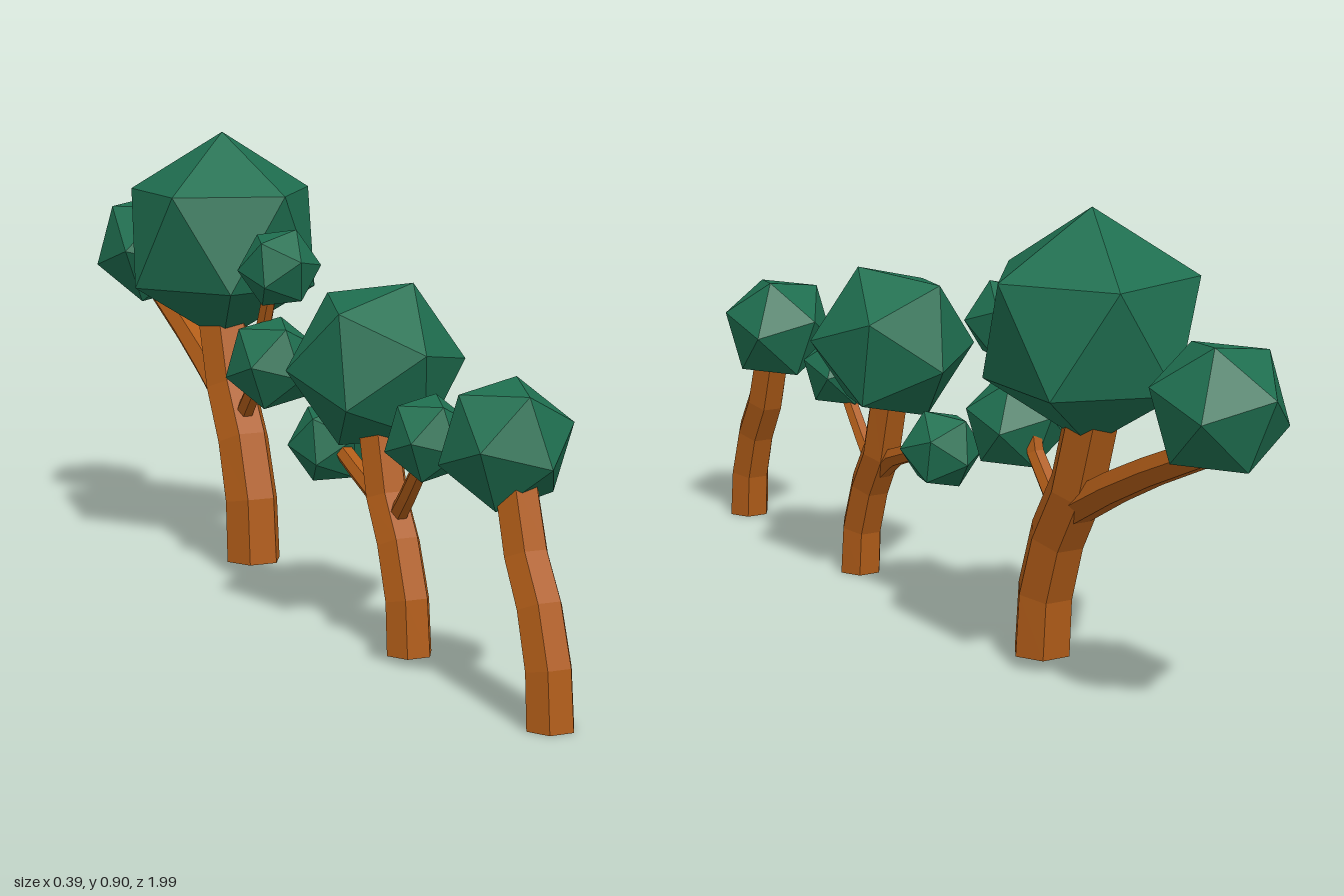
import * as THREE from 'three';

const bark = new THREE.MeshStandardMaterial({ color: 0xb05c18, flatShading: true });
const leaf = new THREE.MeshStandardMaterial({ color: 0x1f6f50, flatShading: true });
const SIDES = 6;

// Six-sided limb swept along [z, y] points, tapering from r0 to r1
function limb(name, points, r0, r1, upright = false) {
  const path = points.map(([z, y]) => new THREE.Vector3(0, y, z));
  const side = new THREE.Vector3(1, 0, 0);
  const last = path.length - 1;
  const pos = [], index = [];
  path.forEach((p, i) => {
    const ahead = path[Math.min(i + 1, last)], behind = path[Math.max(i - 1, 0)];
    const tangent = ahead.clone().sub(behind).normalize();
    if (upright && i === 0) tangent.set(0, 1, 0);
    const normal = tangent.clone().cross(side);
    const r = THREE.MathUtils.lerp(r0, r1, i / last);
    for (let k = 0; k < SIDES; k++) {
      const a = (k / SIDES) * Math.PI * 2;
      const v = p.clone().addScaledVector(side, r * Math.cos(a)).addScaledVector(normal, r * Math.sin(a));
      pos.push(v.x, v.y, v.z);
      if (i < last) {
        const a0 = i * SIDES + k, b0 = i * SIDES + (k + 1) % SIDES;
        index.push(a0, b0, a0 + SIDES, b0, b0 + SIDES, a0 + SIDES);
      }
    }
  });
  // End caps
  const e = last * SIDES;
  for (let k = 1; k < SIDES - 1; k++) index.push(0, k + 1, k, e, e + k, e + k + 1);
  const indexed = new THREE.BufferGeometry();
  indexed.setAttribute('position', new THREE.Float32BufferAttribute(pos, 3));
  indexed.setIndex(index);
  const geometry = indexed.toNonIndexed();
  geometry.computeVertexNormals();
  const mesh = new THREE.Mesh(geometry, bark);
  mesh.name = name;
  return mesh;
}

// Icosahedron with one corner turned towards "up" and a neighbouring corner towards "out"
function foliage(name, center, radius, up, out) {
  const geometry = new THREE.IcosahedronGeometry(radius, 0);
  const basis = (a, b) => {
    const y = a.clone().normalize();
    const x = b.clone().addScaledVector(y, -b.dot(y)).normalize();
    return new THREE.Matrix4().makeBasis(x, y, x.clone().cross(y));
  };
  const g = (1 + Math.sqrt(5)) / 2;
  const own = basis(new THREE.Vector3(0, 1, g), new THREE.Vector3(0, -1, g));
  const aim = basis(new THREE.Vector3(...up), new THREE.Vector3(...out));
  geometry.applyMatrix4(aim.multiply(own.invert()));
  geometry.computeVertexNormals();
  const mesh = new THREE.Mesh(geometry, leaf);
  mesh.name = name;
  mesh.position.set(...center);
  return mesh;
}

function tree(name, ...parts) {
  const group = new THREE.Group();
  group.name = name;
  group.add(...parts);
  return group;
}

export function createModel() {
  const model = new THREE.Group();
  model.name = 'treeRow';
  const tiltUp = [0.04, 0.105, -0.04], tiltOut = [0, 0.1, 0.09];
  const leanUp = [0.06, 0.155, 0.035], leanOut = [-0.11, 0.11, 0.07];

  model.add(
    tree('smallTree',
      limb('trunk', [[0.957, 0], [0.948, 0.1], [0.914, 0.2], [0.865, 0.28], [0.825, 0.4]], 0.046, 0.041, true),
      foliage('crown', [0, 0.46, 0.79], 0.123, tiltUp, tiltOut)),

    tree('middleTree',
      limb('trunk', [[0.422, 0], [0.413, 0.1], [0.375, 0.2], [0.325, 0.28], [0.285, 0.42]], 0.046, 0.042, true),
      limb('frontBranch', [[0.35, 0.23], [0.41, 0.295], [0.485, 0.385]], 0.019, 0.016),
      limb('backBranch', [[0.35, 0.225], [0.27, 0.28], [0.2, 0.305], [0.1, 0.345]], 0.022, 0.018),
      foliage('crown', [0, 0.522, 0.275], 0.17, leanUp, leanOut),
      foliage('frontFoliage', [0, 0.42, 0.497], 0.085, tiltUp, tiltOut),
      foliage('backFoliage', [0, 0.34, 0.075], 0.085, leanUp, leanOut)),

    tree('largeTree',
      limb('trunk', [[-0.308, 0.025], [-0.318, 0.15], [-0.36, 0.27], [-0.425, 0.375], [-0.48, 0.54]], 0.059, 0.054, true),
      limb('backBranch', [[-0.41, 0.33], [-0.55, 0.405], [-0.67, 0.462], [-0.84, 0.535]], 0.036, 0.028),
      limb('frontBranch', [[-0.38, 0.3], [-0.28, 0.41], [-0.25, 0.53], [-0.205, 0.63]], 0.02, 0.015),
      foliage('crown', [0, 0.685, -0.467], 0.22, [0, 1, 0], [1, 0, 0]),
      foliage('backFoliage', [0, 0.62, -0.87], 0.13, tiltUp, tiltOut),
      foliage('lowerFoliage', [0, 0.455, -0.207], 0.1, tiltUp, tiltOut),
      foliage('upperFoliage', [0.01, 0.65, -0.195], 0.085, leanUp, leanOut)),
  );
  return model;
}
